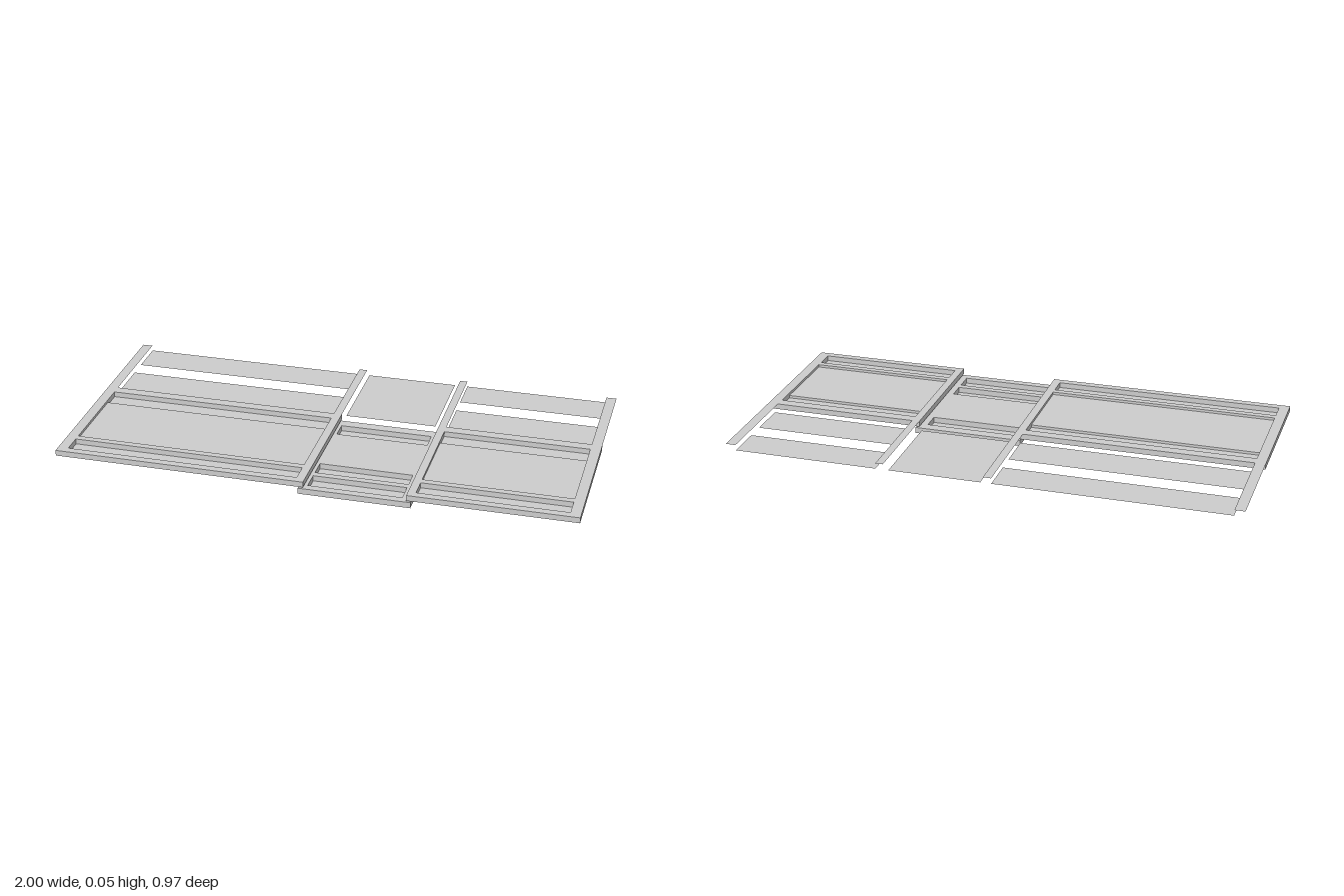
import * as THREE from 'three';

const grey = new THREE.MeshStandardMaterial({ color: 0xcccccc, flatShading: true });
const thin = new THREE.MeshStandardMaterial({ color: 0xcccccc, side: THREE.DoubleSide });

function add(parent, name, geometry, material = grey) {
  const mesh = new THREE.Mesh(geometry, material);
  mesh.name = name;
  parent.add(mesh);
}

// Rectangles are [x0, x1, z0, z1]
function trace(path, [x0, x1, z0, z1]) {
  path.moveTo(x0, z0);
  path.lineTo(x1, z0);
  path.lineTo(x1, z1);
  path.lineTo(x0, z1);
  path.closePath();
  return path;
}

// Horizontal plate between two heights, cut through by rectangular holes
function plate(outer, y0, y1, holes = []) {
  const shape = trace(new THREE.Shape(), outer);
  holes.forEach((h) => shape.holes.push(trace(new THREE.Path(), h)));
  return new THREE.ExtrudeGeometry(shape, { depth: y1 - y0, bevelEnabled: false })
    .rotateX(Math.PI / 2).translate(0, y1, 0);
}

function sheet([x0, x1, z0, z1], y) {
  return new THREE.PlaneGeometry(x1 - x0, z1 - z0)
    .rotateX(-Math.PI / 2).translate((x0 + x1) / 2, y, (z0 + z1) / 2);
}

// Slab with pockets over a thin floor
function tray(name, outer, y0, y1, pockets) {
  const group = new THREE.Group();
  group.name = name;
  add(group, 'frame', plate(outer, y0 + 0.001, y1, pockets));
  add(group, 'floor', plate(outer, y0, y0 + 0.001));
  return group;
}

export function createModel() {
  const model = new THREE.Group();
  const back = -0.077, front = 0.487, rear = -0.487;
  const bottom = 0.029, top = 0.051, boardY = 0.029;

  // Raised side trays: a stepped main pocket and a narrow front pocket
  const sides = [
    { name: 'rightTray', outer: [-1, -0.026], inner: [-0.96, -0.058] },
    { name: 'leftTray', outer: [0.364, 1], inner: [0.394, 0.96] },
  ];
  for (const { name, outer, inner } of sides) {
    const group = tray(name, [...outer, back, front], bottom, top, [
      [...inner, -0.036, 0.355], [...inner, 0.381, 0.457],
    ]);
    add(group, 'raisedFloor', plate([...inner, 0.039, 0.355], bottom + 0.001, 0.0405));

    // Flat rails running back, flush with the tray's top
    add(group, 'outerRail', sheet([outer[0], inner[0], rear, back], top), thin);
    add(group, 'innerRail', sheet([inner[1], outer[1], rear, back], top), thin);

    // Loose flat boards behind the tray
    add(group, 'rearBoard', sheet([...inner, rear, -0.341], boardY), thin);
    add(group, 'frontBoard', sheet([...inner, -0.267, -0.111], boardY), thin);
    model.add(group);
  }

  // Lower centre tray with three grooves
  const grooves = [[-0.036, 0.037], [0.284, 0.355], [0.381, 0.457]];
  const centre = tray('centreTray', [-0.046, 0.38, back, front], 0, 0.023,
    grooves.map((z) => [-0.016, 0.343, ...z]));
  add(centre, 'centreBoard', sheet([-0.016, 0.343, rear, -0.111], boardY), thin);
  model.add(centre);
  return model;
}
